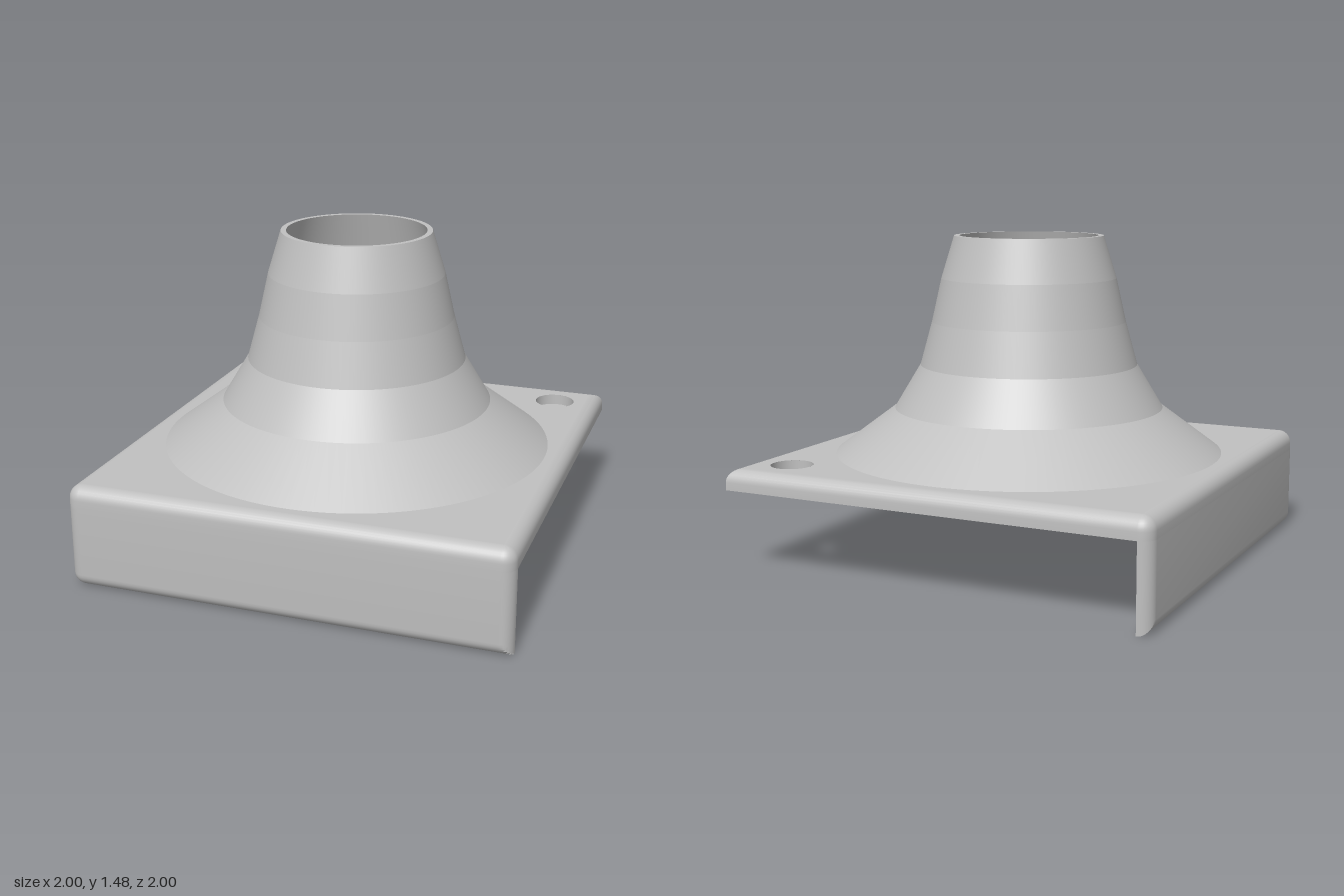
import * as THREE from 'three';
import { toCreasedNormals } from 'three/addons/utils/BufferGeometryUtils.js';

const H = 0.475;      // top of the plate
const UNDER = 0.38;   // underside of the plate
const R = 0.06;       // edge rounding, also the wall thickness
const ARC = 8;
const HOLES = [[0, 0], [0.79, -0.795]];

// Plan outline inset by d: sharp back corner, then three rounded corners.
function outline(d) {
  const pts = [[1 - d, -1 + d]];
  const c = 1 - R;
  [[c, c, 0], [-c, c, 1], [-c, -c, 2]].forEach(([cx, cz, q]) => {
    for (let i = 0; i <= ARC; i++) {
      const a = (q + i / ARC) * Math.PI / 2;
      pts.push([cx + (R - d) * Math.cos(a), cz + (R - d) * Math.sin(a)]);
    }
  });
  return pts;
}

// Outline of the two walls where their lower outer edges round inwards.
function wallOutline(d) {
  const full = outline(0), inset = outline(d);
  return full.slice(1).map(([x, z], i) => {
    const p = i > ARC && i <= 2 * ARC + 1 ? inset[i + 1] : [x, z];
    return [Math.max(p[0], -1 + d), Math.min(p[1], 1 - d)];
  });
}

// Surface through a stack of rings, listed from low to high.
function loft(rings, closed) {
  const pos = [], idx = [], n = rings[0].pts.length;
  rings.forEach(({ y, pts }) => pts.forEach(([x, z]) => pos.push(x, y, z)));
  for (let k = 0; k < rings.length - 1; k++) {
    for (let i = 0; i < (closed ? n : n - 1); i++) {
      const a = k * n + i, b = k * n + (i + 1) % n;
      idx.push(a, a + n, b, b, a + n, b + n);
    }
  }
  const g = new THREE.BufferGeometry();
  g.setAttribute('position', new THREE.Float32BufferAttribute(pos, 3));
  g.setIndex(idx);
  return toCreasedNormals(g, 0.5);
}

// Flat square sheet with round holes, facing up or down.
function sheet(pts, y, holeRadius, up) {
  const s = up ? -1 : 1;
  const shape = new THREE.Shape(pts.map(([x, z]) => new THREE.Vector2(x, s * z)));
  HOLES.forEach(([x, z]) => {
    shape.holes.push(new THREE.Path().absarc(x, s * z, holeRadius, 0, Math.PI * 2, true));
  });
  return new THREE.ShapeGeometry(shape, 32).rotateX(s * Math.PI / 2).translate(0, y, 0);
}

export function createModel() {
  const model = new THREE.Group();
  const grey = new THREE.MeshStandardMaterial({ color: 0xc0c0c0, side: THREE.DoubleSide });
  grey.name = 'grey';
  const add = (name, geometry, parent = model) => {
    const mesh = new THREE.Mesh(geometry, grey);
    mesh.name = name;
    parent.add(mesh);
    return mesh;
  };

  // One turned band per profile step, so each step keeps a sharp edge.
  const turned = (name, profile, segments) => {
    const group = new THREE.Group();
    group.name = name;
    for (let i = 0; i < profile.length - 1; i++) {
      const pts = [profile[i], profile[i + 1]].map(([r, y]) => new THREE.Vector2(r, y));
      add(name + 'Band', new THREE.LatheGeometry(pts, segments), group);
    }
    model.add(group);
    return group;
  };

  // Plate: rounded upper edges, top and underside
  const edge = [{ y: UNDER, pts: outline(0) }];
  for (let i = 0; i <= ARC; i++) {
    const a = i / ARC * Math.PI / 2;
    edge.push({ y: H - R + R * Math.sin(a), pts: outline(R * (1 - Math.cos(a))) });
  }
  add('plateEdge', loft(edge, true));
  add('plateTop', sheet(outline(R).filter((p, i) => i % (ARC + 1) === 1 || i === 0), H, 0.095, true));
  add('plateUnderside', sheet(outline(0), UNDER, 0.05, false));

  // Front and side walls with rounded lower edges
  const wall = [];
  for (let i = 0; i <= ARC; i++) {
    const a = i / ARC * Math.PI / 2;
    wall.push({ y: R - R * Math.cos(a), pts: wallOutline(R * (1 - Math.sin(a))) });
  }
  wall.push({ y: UNDER, pts: wallOutline(0) });
  add('wallOutside', loft(wall, false));
  const c = 1 - R;
  const inner = [[-c, -1], [-c, c], [1, c]];
  add('wallInside', loft([{ y: 0, pts: inner }, { y: UNDER, pts: inner }], false));

  // Counterbored screw holes
  HOLES.forEach(([x, z]) => {
    const hole = turned('screwHole', [[0.05, UNDER], [0.05, 0.425], [0.095, 0.425], [0.095, H]].reverse(), 32);
    hole.position.set(x, 0, z);
  });

  // Hollow flared neck: outside, rim and inside
  turned('neck', [
    [0.9, H], [0.625, 0.68], [0.505, 0.88], [0.45, 1.08], [0.405, 1.28], [0.345, 1.475],
    [0.32, 1.475], [0.38, 1.28], [0.425, 1.08], [0.48, 0.88], [0.595, 0.68], [0.86, H],
  ], 96);

  return model;
}
